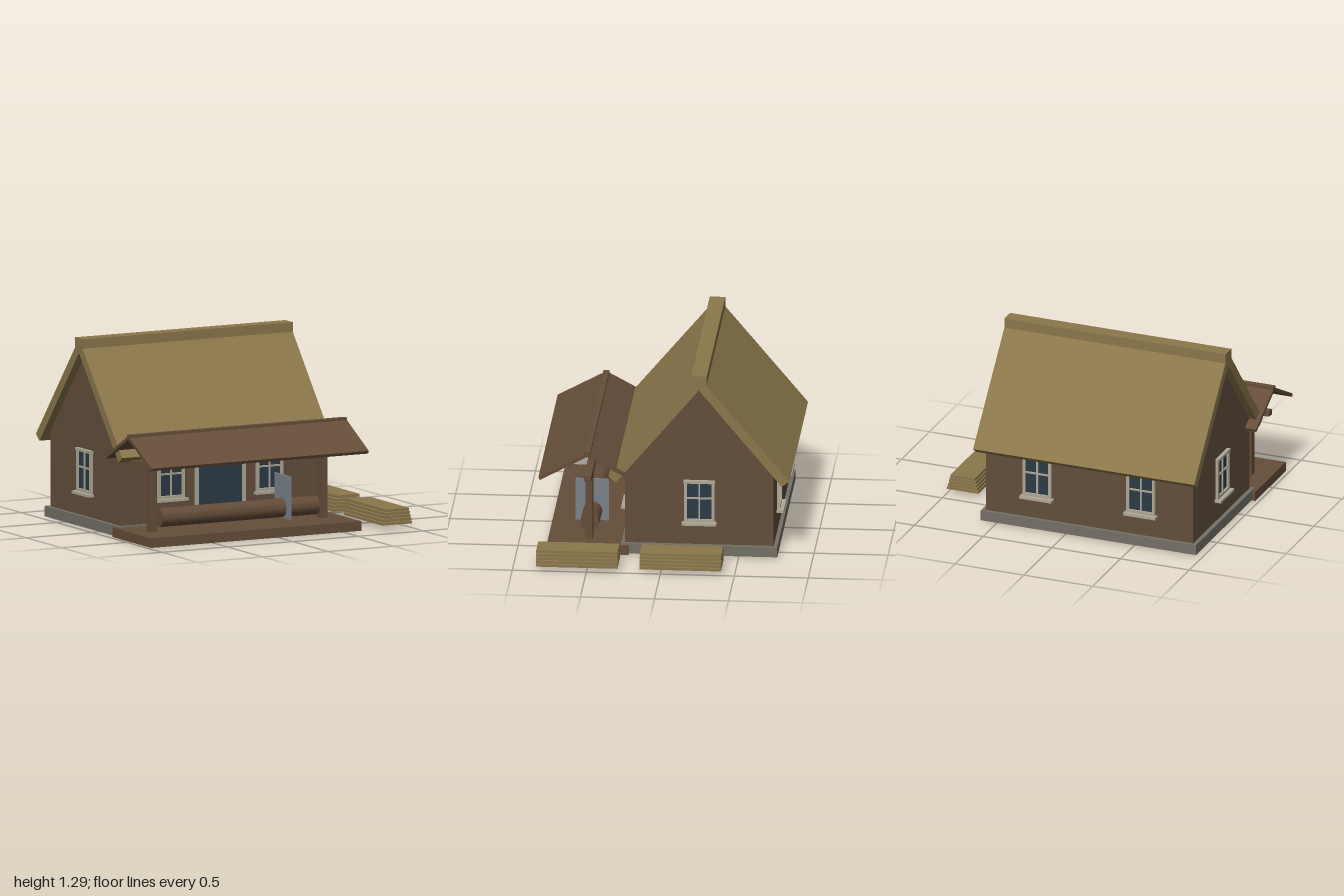
import * as THREE from 'three';

const mat = (name, color) => new THREE.MeshStandardMaterial({ name, color });

export function createModel() {
  const thatch = mat('thatch', 0x8b774b);
  const wall = mat('wall', 0x634f3c);
  const wood = mat('wood', 0x654d39);
  const stone = mat('stone', 0x747067);
  const trim = mat('trim', 0xaea897);
  const glass = mat('glass', 0x2c3b46);
  const metal = mat('metal', 0x7a8289);

  const house = new THREE.Group();
  house.name = 'house';

  const add = (parent, name, geometry, material) => {
    const mesh = new THREE.Mesh(geometry, material);
    mesh.name = name;
    parent.add(mesh);
    return mesh;
  };
  // Box given by its extents on each axis
  const box = (parent, name, material, x0, x1, y0, y1, z0, z1) => {
    const g = new THREE.BoxGeometry(x1 - x0, y1 - y0, z1 - z0);
    g.translate((x0 + x1) / 2, (y0 + y1) / 2, (z0 + z1) / 2);
    return add(parent, name, g, material);
  };
  // Profile of [z, y] points extruded along x
  const extrudeX = (name, material, points, x0, x1) => {
    const shape = new THREE.Shape(points.map(([z, y]) => new THREE.Vector2(z, y)));
    const g = new THREE.ExtrudeGeometry(shape, { depth: x1 - x0, bevelEnabled: false });
    g.rotateY(-Math.PI / 2);
    g.translate(x1, 0, 0);
    return add(house, name, g, material);
  };
  // Symmetric pitched profile: right half of the outline mirrored about z = c
  const mirrored = (c, apexTop, top, bottom, apexBottom) => [
    [c, apexTop], [c + top[0], top[1]], [c + bottom[0], bottom[1]], [c, apexBottom],
    [c - bottom[0], bottom[1]], [c - top[0], top[1]],
  ];

  // House body
  const cx = -0.167, cz = -0.232;
  box(house, 'foundation', stone, -0.95, 0.615, 0.004, 0.075, -0.76, 0.295);
  extrudeX('walls', wall,
    [[0.27, 0.07], [0.27, 0.585], [cz, 1.185], [-0.734, 0.585], [-0.734, 0.07]], -0.92, 0.585);

  // Thatched roof and ridge cap
  extrudeX('thatchedRoof', thatch,
    mirrored(cz, 1.287, [0.612, 0.556], [0.56, 0.516], 1.19), -0.972, 0.636);
  box(house, 'ridgeCap', thatch, -0.972, 0.636, 1.2, 1.29, -0.285, -0.18);

  // Windows are built facing +z, with the wall at z = 0
  const addWindow = (x, z, turn) => {
    const w = new THREE.Group();
    w.name = 'window';
    box(w, 'windowGlass', glass, -0.09, 0.09, 0.245, 0.515, -0.002, 0.006);
    for (const s of [-1, 1]) {
      box(w, 'windowJamb', trim, Math.min(s * 0.083, s * 0.103), Math.max(s * 0.083, s * 0.103),
        0.235, 0.53, 0, 0.02);
    }
    box(w, 'windowHead', trim, -0.107, 0.107, 0.512, 0.532, 0, 0.024);
    box(w, 'windowBottomRail', trim, -0.083, 0.083, 0.235, 0.257, 0, 0.02);
    box(w, 'windowSill', trim, -0.117, 0.117, 0.219, 0.237, 0, 0.047);
    box(w, 'verticalBar', trim, -0.006, 0.006, 0.25, 0.52, 0, 0.014);
    box(w, 'horizontalBar', trim, -0.085, 0.085, 0.399, 0.411, 0, 0.014);
    w.position.set(x, 0, z);
    w.rotation.y = turn;
    house.add(w);
  };
  for (const x of [cx - 0.377, cx + 0.377]) {
    addWindow(x, 0.27, 0);
    addWindow(x, -0.734, Math.PI);
  }
  addWindow(0.585, cz, Math.PI / 2);
  addWindow(-0.92, cz, -Math.PI / 2);

  // Door
  box(house, 'door', glass, cx - 0.172, cx + 0.172, 0.075, 0.55, 0.268, 0.278);
  box(house, 'doorJamb', trim, cx - 0.192, cx - 0.168, 0.075, 0.57, 0.268, 0.292);
  box(house, 'doorJamb', trim, cx + 0.168, cx + 0.192, 0.075, 0.57, 0.268, 0.292);
  box(house, 'doorHead', trim, cx - 0.168, cx + 0.168, 0.547, 0.57, 0.268, 0.292);

  // Porch
  const pz = 0.52;
  box(house, 'porchFloor', wood, -0.973, 0.636, 0, 0.065, 0.245, 0.795);
  for (const x of [-0.82, 0.485]) {
    box(house, 'porchPost', wood, x - 0.025, x + 0.025, 0.06, 0.53, pz - 0.025, pz + 0.025);
  }
  box(house, 'porchBeam', wood, -0.973, 0.636, 0.518, 0.555, pz - 0.025, pz + 0.025);
  extrudeX('porchRoof', wood,
    mirrored(pz, 0.728, [0.33, 0.55], [0.32, 0.53], 0.703), -1, 0.663);
  box(house, 'porchRidge', wood, -1, 0.663, 0.71, 0.735, pz - 0.02, pz + 0.02);

  // Log with a saw blade standing across it
  const logGeometry = new THREE.CylinderGeometry(0.065, 0.065, 1.205, 10);
  logGeometry.rotateZ(Math.PI / 2);
  add(house, 'log', logGeometry, wood).position.set(-0.167, 0.155, pz);
  box(house, 'sawBlade', metal, 0.177, 0.189, 0.085, 0.38, 0.41, 0.635);

  // Stacks of planks
  for (const z of [-0.135, 0.565]) {
    const stack = new THREE.Group();
    stack.name = 'plankStack';
    for (let i = 0; i < 5; i++) {
      const half = 0.113 - i * 0.006, y = 0.03 + i * 0.0227;
      box(stack, 'plank', thatch, 0.887 - half, 0.887 + half, y, y + 0.0175, z - 0.275, z + 0.275);
    }
    house.add(stack);
  }
  return house;
}
